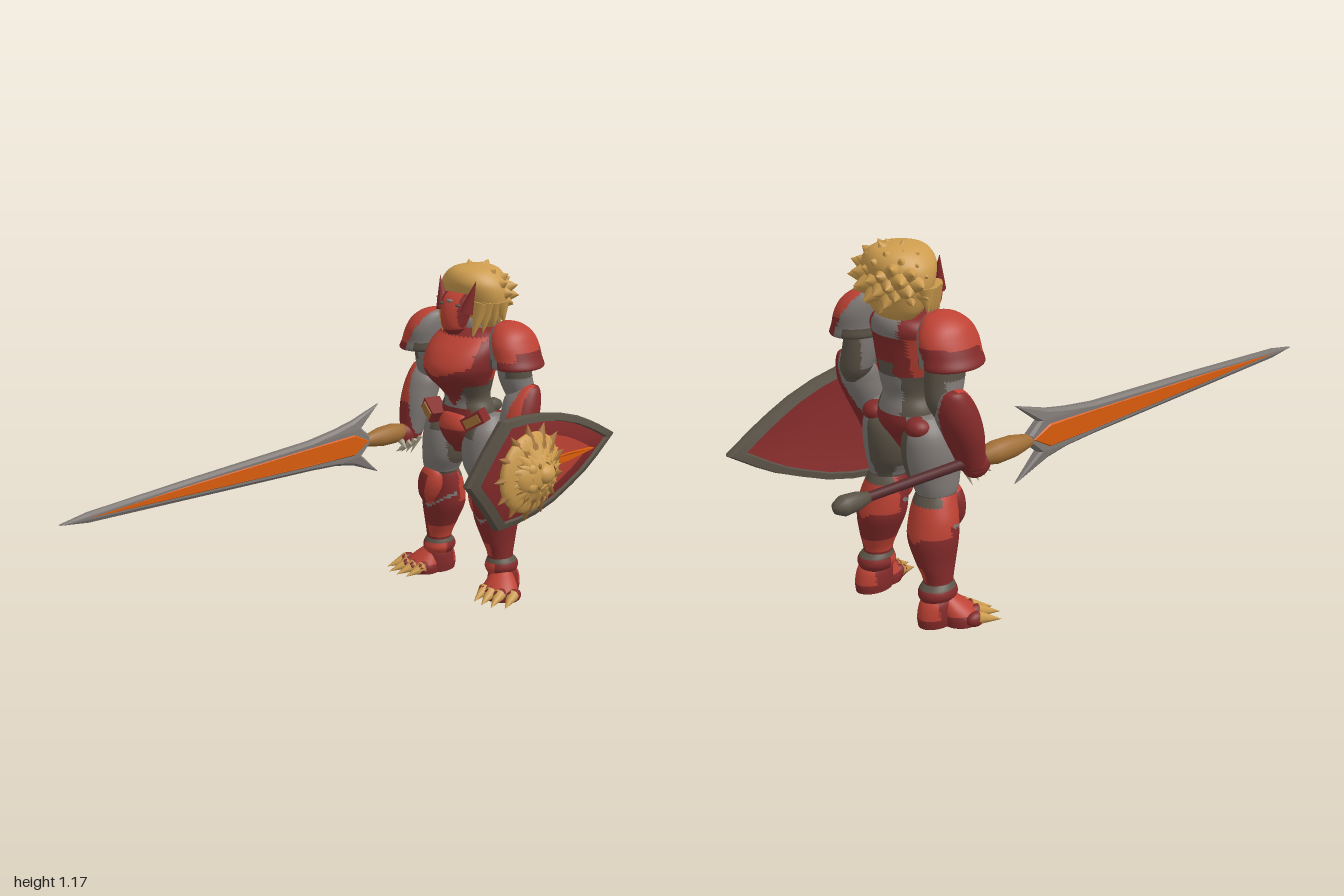
import * as THREE from 'three';
import { mergeGeometries, toCreasedNormals } from 'three/addons/utils/BufferGeometryUtils.js';

const CX = -0.06; // body centre line
const V = (x, y, z) => new THREE.Vector3(x, y, z);
const mat = (name, color) => Object.assign(new THREE.MeshStandardMaterial({ color }), { name });

export function createModel() {
  const root = new THREE.Group();
  const red = mat('bright armour red', 0xbe4234), deep = mat('deep armour red', 0x842b2a);
  const grey = mat('suit grey', 0x7f7975), shade = mat('dark olive grey', 0x5a5246);
  const gold = mat('mane gold', 0xcd9c4e), brown = mat('bronze', 0xa06e36), orange = mat('blade orange', 0xd85c0c);
  const maroon = mat('grip maroon', 0x54282a), claw = mat('claw ivory', 0xb0a690);
  const add = (name, geo, material) => {
    const m = new THREE.Mesh(geo, material);
    m.name = name;
    root.add(m);
    return m;
  };

  // Smooth body from elliptical sections [x, y, z, rx, rz] listed upwards; pick(x, y, z) chooses a material per face
  function loft(name, secs, mats, pick = () => 0, n = 44, rows = 52) {
    const path = new THREE.CatmullRomCurve3(secs.map(s => V(s[0], s[1], s[2])), false, 'catmullrom');
    const size = new THREE.CatmullRomCurve3(secs.map(s => V(s[3], 0, s[4])), false, 'catmullrom');
    const pos = [], buckets = mats.map(() => []), end = (rows + 1) * n;
    for (let j = 0; j <= rows; j++) {
      const c = path.getPoint(j / rows), r = size.getPoint(j / rows);
      for (let i = 0; i < n; i++) {
        const a = i / n * Math.PI * 2;
        pos.push(c.x + Math.cos(a) * r.x, c.y, c.z + Math.sin(a) * r.z);
      }
    }
    for (const s of [secs[0], secs.at(-1)]) pos.push(s[0], s[1], s[2]);
    const tri = (...t) => {
      const mid = k => (pos[t[0] * 3 + k] + pos[t[1] * 3 + k] + pos[t[2] * 3 + k]) / 3;
      buckets[pick(mid(0), mid(1), mid(2))].push(...t);
    };
    for (let i = 0; i < n; i++) {
      const k = (i + 1) % n;
      for (let a = i, b = k; a < rows * n; a += n, b += n) {
        tri(a, a + n, b + n);
        tri(a, b + n, b);
      }
      tri(end, i, k);
      tri(end + 1, rows * n + k, rows * n + i);
    }
    const g = new THREE.BufferGeometry();
    g.setAttribute('position', new THREE.Float32BufferAttribute(pos, 3));
    g.setIndex(buckets.flat());
    let start = 0;
    buckets.forEach((b, i) => { g.addGroup(start, b.length, i); start += b.length; });
    g.computeVertexNormals();
    return add(name, g, mats);
  }
  const blob = (name, m, x, y, z, rx, ry, rz) => add(name, new THREE.SphereGeometry(1, 20, 14).scale(rx, ry, rz).translate(x, y, z), m);
  const spike = (base, tip, r) => {
    const d = tip.clone().sub(base), len = d.length(), q = new THREE.Quaternion().setFromUnitVectors(V(0, 1, 0), d.normalize());
    return new THREE.ConeGeometry(r, len, 9, 2).translate(0, len / 2, 0).applyQuaternion(q).translate(base.x, base.y, base.z);
  };
  const spikes = (name, m, list) => add(name, mergeGeometries(list.map(s => spike(...s))), m);

  // Torso: breastplate, bare waist, hip plate
  const torso = [[.505, -.52, .03, .04], [.56, -.53, .06, .065], [.61, -.54, .1, .085], [.66, -.54, .1, .08], [.7, -.535, .083, .076],
    [.74, -.52, .092, .1], [.78, -.5, .11, .124], [.82, -.495, .127, .13], [.87, -.51, .133, .118], [.91, -.535, .125, .1], [.94, -.55, .095, .075], [.95, -.55, .05, .05]];
  loft('torso', torso.map(([y, z, a, b]) => [CX, y, z, a, b]), [red, grey, deep, shade], (x, y, z) => {
    const u = Math.abs(x - CX);
    if (z > -.53) {
      if (y > .755) return y < .79 + u * .35 || u > .108 || y > .925 ? 2 : 0;
      if (y > .665) return u < (y - .67) * .85 ? 2 : (u > .05 ? 3 : 1);
      return u < .065 ? 2 : (y > .62 ? 3 : 1);
    }
    if (y > .89) return u < .06 ? 1 : 2;
    if (y > .77) return u < .035 && y < .81 ? 3 : (u > .08 ? 0 : 2);
    return y > .645 ? (u < .05 ? 1 : 3) : (u < .07 ? 2 : 1);
  });
  loft('groinPlate', [[CX, .512, -.5, .02, .02], [CX, .55, -.482, .046, .036], [CX, .6, -.475, .066, .046], [CX, .64, -.482, .055, .036],
    [CX, .66, -.5, .03, .02]], [red, deep], (x, y) => y > .595 ? 0 : 1);
  blob('neck', grey, CX, .95, -.545, .055, .06, .055);

  // Head: mask and mane
  loft('faceMask', [[CX, .93, -.46, .02, .025], [CX, .955, -.46, .038, .045], [CX, .99, -.465, .047, .054],
    [CX, 1.03, -.478, .06, .055], [CX, 1.06, -.495, .068, .048], [CX, 1.09, -.53, .06, .03]], [red, deep],
    (x, y) => Math.abs(x - CX) > .038 || y < .95 ? 1 : 0);
  blob('muzzle', red, CX, .985, -.445, .03, .036, .03);
  blob('browGem', grey, CX, 1.046, -.434, .014, .006, .008);
  loft('maneCore', [[CX, .94, -.58, .07, .04], [CX, .97, -.575, .1, .06], [CX, 1.02, -.565, .12, .08], [CX, 1.07, -.562, .126, .097],
    [CX, 1.11, -.56, .112, .103], [CX, 1.145, -.56, .075, .08], [CX, 1.16, -.56, .02, .02]], [gold]);
  const tufts = [];
  for (let i = 0; i < 76; i++) {
    const y = 1 - 2 * (i + .5) / 76, a = i * 2.39996, h = Math.sqrt(1 - y * y), k = 1 + .07 * Math.sin(i * 7.3);
    const d = V(Math.cos(a) * h, y, Math.sin(a) * h);
    if (d.z > .25 && (y < .6 || d.z > .6)) continue;
    tufts.push([V(CX + d.x * .085, 1.06 + y * .06, -.575 + d.z * .055), V(CX + d.x * .148 * k, 1.058 + y * .11 * k, -.585 + d.z * .105 * k), .046]);
  }
  for (const s of [1, -1]) for (let i = 0; i < 4; i++) {
    tufts.push([V(CX + s * (.082 + i * .012), 1.04, -.505 - i * .018), V(CX + s * (.068 + i * .022), .915 + i * .018, -.475 - i * .03), .032]);
  }
  spikes('maneTufts', gold, tufts);

  for (const s of [1, -1]) {
    const side = s > 0 ? 'left' : 'right', X = u => CX + s * u;
    const part = (name, secs, mats, pick) =>
      loft(side + name, secs.map(([u, ...r]) => [X(u), ...r]), mats, pick && ((x, y, z) => pick((x - CX) * s, y, z)), 36, 40);
    spikes(side + 'MaskHorn', deep, [[V(X(.052), 1.01, -.46), V(X(.082), 1.12, -.475), .025]]);
    blob(side + 'Eye', shade, X(.036), 1.034, -.436, .011, .005, .008);

    // Shoulder plate and arm
    part('Pauldron', [[.21, .835, -.545, .045, .06], [.213, .838, -.545, .082, .1], [.206, .87, -.545, .077, .1], [.194, .915, -.545, .071, .098],
      [.184, .95, -.545, .062, .08], [.172, .975, -.545, .042, .05], [.168, .987, -.545, .01, .01]], [red, grey, deep, shade], (u, y, z) => {
      if (u < .212 - (y - .85) * .5) return y < .868 && u < .18 ? 3 : 1;
      return y < .865 + (u > .26 ? .03 : 0) || (z < -.6 && y < .9) ? 2 : 0;
    });
    part('UpperArm', [[.21, .69, -.575, .03, .035], [.205, .73, -.575, .05, .05], [.195, .79, -.56, .056, .06], [.19, .85, -.55, .055, .058],
      [.18, .9, -.55, .04, .04]], [grey, shade], (u, y, z) => y < .735 || (y > .8 && u > .2) || z < -.595 ? 1 : 0);
    part('Forearm', [[.235, .51, -.495, .035, .04], [.235, .55, -.505, .046, .047], [.234, .62, -.525, .062, .06], [.232, .68, -.545, .066, .066],
      [.23, .73, -.56, .062, .058], [.245, .765, -.57, .035, .035], [.25, .775, -.57, .01, .01]], [red, grey, deep],
      (u, y, z) => u < .212 + (y - .6) * .2 ? 1 : (y < .64 || u > .272 || z < -.575 ? 2 : 0));

    // Hand with curved claws
    const hx = .236, reach = s > 0 ? .055 : .035, fingers = [], toes = [];
    blob(side + 'Hand', s > 0 ? grey : deep, X(hx), .52, -.48, .034, .045, .05);
    for (let i = 0; i < 4; i++) {
      const z = -.515 + i * .025, y = .535 - i * .008;
      fingers.push([V(X(hx), y, z), V(X(hx - reach - .01), y - .03, z + .012), .016],
        [V(X(hx - reach), y - .02, z + .01), V(X(hx - .01), .445 + i * .008, z + .03), .012]);
    }
    spikes(side + 'HandClaws', claw, fingers);

    // Leg: suit thigh, armoured shin with trim line
    part('Thigh', [[.105, .36, -.54, .045, .05], [.112, .41, -.53, .06, .065], [.098, .47, -.53, .077, .085], [.093, .54, -.535, .083, .09],
      [.095, .6, -.54, .068, .08], [.1, .65, -.545, .03, .04]], [grey, shade],
      (u, y, z) => y < .41 || u < .035 || (z < -.56 && u < .095) || (z > -.5 && y > .57 && u < .1) ? 1 : 0);
    part('Shin', [[.148, .11, -.56, .042, .045], [.146, .15, -.56, .045, .05], [.137, .2, -.56, .057, .065], [.125, .27, -.558, .078, .078],
      [.12, .33, -.55, .079, .074], [.115, .38, -.54, .068, .068], [.113, .415, -.53, .056, .06]], [red, grey, deep, shade], (u, y, z) => {
      const v = y - (.268 + Math.abs(u - .125) * .7);
      if (z > -.54 && Math.abs(v) < .006) return 1;
      if (z < -.56 && y > .38) return 3;
      return (v > 0 && u > .1) || (z < -.55 && y > .29) || (y > .14 && y < .19 && u < .15) ? 0 : 2;
    });
    const knee = loft(side + 'KneePlate', [[0, -.08, 0, .012, .01], [0, -.05, 0, .036, .032], [0, 0, 0, .05, .04], [0, .045, 0, .04, .032],
      [0, .075, 0, .012, .01]], [red, deep], (x, y) => x * s < -.012 || y > .03 ? 0 : 1, 28, 24);
    knee.position.set(X(.12), .365, -.482);
    knee.rotation.set(-.12, 0, s * .18);
    part('AnkleCuff', [[.15, .075, -.565, .045, .055], [.15, .095, -.565, .055, .064], [.15, .115, -.565, .052, .06], [.148, .135, -.56, .042, .045]],
      [red, shade, deep], (u, y, z) => y > .117 ? 1 : (z > -.55 && u < .17 ? 0 : 2));

    // Foot splayed outward, with toe claws
    part('Heel', [[.155, 0, -.575, .046, .064], [.155, .03, -.575, .05, .066], [.155, .07, -.57, .048, .06], [.155, .1, -.565, .035, .04]],
      [red, deep], (u, y, z) => y > .03 && z < -.6 ? 0 : 1);
    part('Instep', [[.19, 0, -.515, .066, .06], [.188, .025, -.515, .066, .062], [.18, .055, -.53, .052, .05], [.165, .09, -.55, .03, .03]],
      [red, deep], (u, y) => y > .035 ? 0 : 1);
    for (let i = 0; i < 4; i++) {
      const u = .15 + i * .036, z = -.452 - (i === 3 ? .035 : Math.abs(i - 1.2) * .008);
      blob(side + 'Toe' + (i + 1), deep, X(u), .024, z - .02, .02, .024, .034);
      toes.push([V(X(u), .027, z - .015), V(X(u + .016 + i * .004), .005, z + .06), .023]);
    }
    spikes(side + 'ToeClaws', gold, toes);

    // Slanted belt clasp and hip guard
    [[deep, .08, .046, .06, 0], [brown, .06, .03, .066, .002]].forEach(([m, w, h, d, o], i) => {
      const b = add(side + (i ? 'BeltInlay' : 'BeltClasp'), new THREE.BoxGeometry(w, h, d), m);
      b.position.set(X(.095), .64, -.47 + o);
      b.rotation.set(0, s * .35, s * .55);
    });
    blob(side + 'HipGuard', deep, X(.1), .62, -.585, .042, .032, .04);
  }

  // Reshape a geometry by a rule giving each vertex a new x
  const shiftX = (g, rule) => {
    const p = g.attributes.position;
    for (let i = 0; i < p.count; i++) p.setX(i, rule(p.getX(i), p.getY(i), p.getZ(i)));
    g.computeVertexNormals();
    return g;
  };
  // Flat plate in the z-y plane from a [z, y] outline
  const plate = (pts, depth, bevel) => new THREE.ExtrudeGeometry(new THREE.Shape(pts.map(p => new THREE.Vector2(...p))),
    { depth, bevelEnabled: bevel > 0, bevelSize: bevel, bevelThickness: bevel, bevelOffset: -bevel, bevelSegments: 1 }).translate(0, 0, -depth / 2).rotateY(-Math.PI / 2);

  // Greatsword pointing forward in the right hand, thinning to its tip and prongs
  const SX = -.3, clamp = THREE.MathUtils.clamp;
  const taper = (x, y, z) => SX + x * (1 - .5 * clamp(z + .1, 0, 1)) * (1 - .75 * clamp((Math.abs(y - .535) - .045) / .08, 0, 1));
  add('bladeEdge', shiftX(plate([[1, .54], [.9, .556], [.5, .573], [0, .59], [-.12, .605], [-.2, .62], [-.33, .66], [-.24, .59], [-.28, .555],
    [-.28, .525], [-.24, .49], [-.33, .41], [-.2, .462], [-.12, .478], [0, .487], [.5, .508], [.9, .525]], .02, .009), taper), grey);
  add('bladeCore', shiftX(plate([[.9, .541], [.5, .559], [0, .571], [-.2, .574], [-.27, .54], [-.2, .5], [0, .505], [.5, .523]], .036, .004), taper), orange);
  const turned = (name, m, pts) => // [z, radius] profile turned along z
    add(name, new THREE.LatheGeometry(pts.map(([z, r]) => new THREE.Vector2(r, z)), 16).rotateX(Math.PI / 2).translate(SX, .535, 0), m);
  turned('swordGrip', maroon, [[-.9, 0], [-.9, .014], [-.45, .016], [-.45, 0]]);
  turned('swordPommel', shade, [[-.998, 0], [-.99, .018], [-.965, .03], [-.92, .027], [-.88, .016], [-.88, 0]]);
  turned('swordCollar', brown, [[-.47, 0], [-.46, .025], [-.41, .036], [-.34, .034], [-.27, .02], [-.23, 0]]);

  // Kite shield on the left arm, bowed lengthwise, tip to the back
  const outline = [[-.2, .5], [-.27, .61], [-.34, .705], [-.45, .705], [-.55, .695], [-.65, .675], [-.75, .645], [-.83, .612], [-.9, .58], [-1, .53],
    [-.9, .465], [-.83, .425], [-.75, .39], [-.65, .35], [-.55, .325], [-.45, .312], [-.36, .31], [-.28, .41]];
  const bow = (x, y, z) => x + (y - .5) * .09 - .13 * (z + .55) ** 2;
  const shell = (name, m, profile) => {
    const pos = [], idx = [], n = outline.length;
    profile.forEach(([k, x], j) => outline.forEach(([z, y], i) => {
      pos.push(x, .505 + (y - .505) * k, -.55 + (z + .55) * k);
      const a = j * n + i, b = j * n + (i + 1) % n;
      if (j) idx.push(a - n, b, a, a - n, b - n, b);
    }));
    const g = new THREE.BufferGeometry();
    g.setAttribute('position', new THREE.Float32BufferAttribute(pos, 3));
    g.setIndex(idx);
    m.side = THREE.DoubleSide;
    add(name, toCreasedNormals(shiftX(g, bow), .6), m);
  };
  shell('shieldRim', shade, [[.85, .255], [.87, .272], [.98, .265], [1, .25], [.98, .232], [.87, .228], [.85, .238]]);
  shell('shieldCentre', red, [[.001, .278], [.35, .275], [.6, .27]]);
  shell('shieldBorder', deep, [[.6, .27], [.7, .268], [.87, .258]]);
  shell('shieldBack', deep, [[.87, .236], [.6, .242], [.3, .245], [.001, .246]]);
  add('shieldInlay', shiftX(plate([[-.54, .53], [-.68, .529], [-.83, .515], [-.68, .503], [-.54, .497]], .02, 0).translate(.278, 0, 0), bow), orange);

  // Beast-head relief on the shield, brow forward and mouth to the back
  blob('reliefMane', gold, .29, .51, -.46, .036, .14, .15);
  for (let ring = 0; ring < 3; ring++) {
    const ruff = [];
    for (let i = 0; i < 13; i++) {
      const a = (i + ring * .5) / 13 * Math.PI * 2, r = .172 - ring * .036, c = Math.cos(a), d = Math.sin(a);
      ruff.push([V(.29 + ring * .01, .51 + d * r * .5, -.465 + c * r * .5), V(.288 + ring * .014, .51 + d * r, -.465 + c * r * 1.08), .034]);
    }
    spikes('reliefRuff' + (ring + 1), ring ? gold : brown, ruff);
  }
  blob('reliefFace', gold, .308, .505, -.445, .035, .066, .085);
  blob('reliefMuzzle', gold, .322, .505, -.495, .035, .036, .045);
  blob('reliefMouth', maroon, .318, .505, -.54, .016, .022, .014);
  for (const s of [1, -1]) {
    blob('reliefBrow', gold, .325, .505 + s * .03, -.425, .018, .022, .026);
    blob('reliefEye', brown, .336, .505 + s * .036, -.455, .007, .01, .008);
  }
  return root;
}
